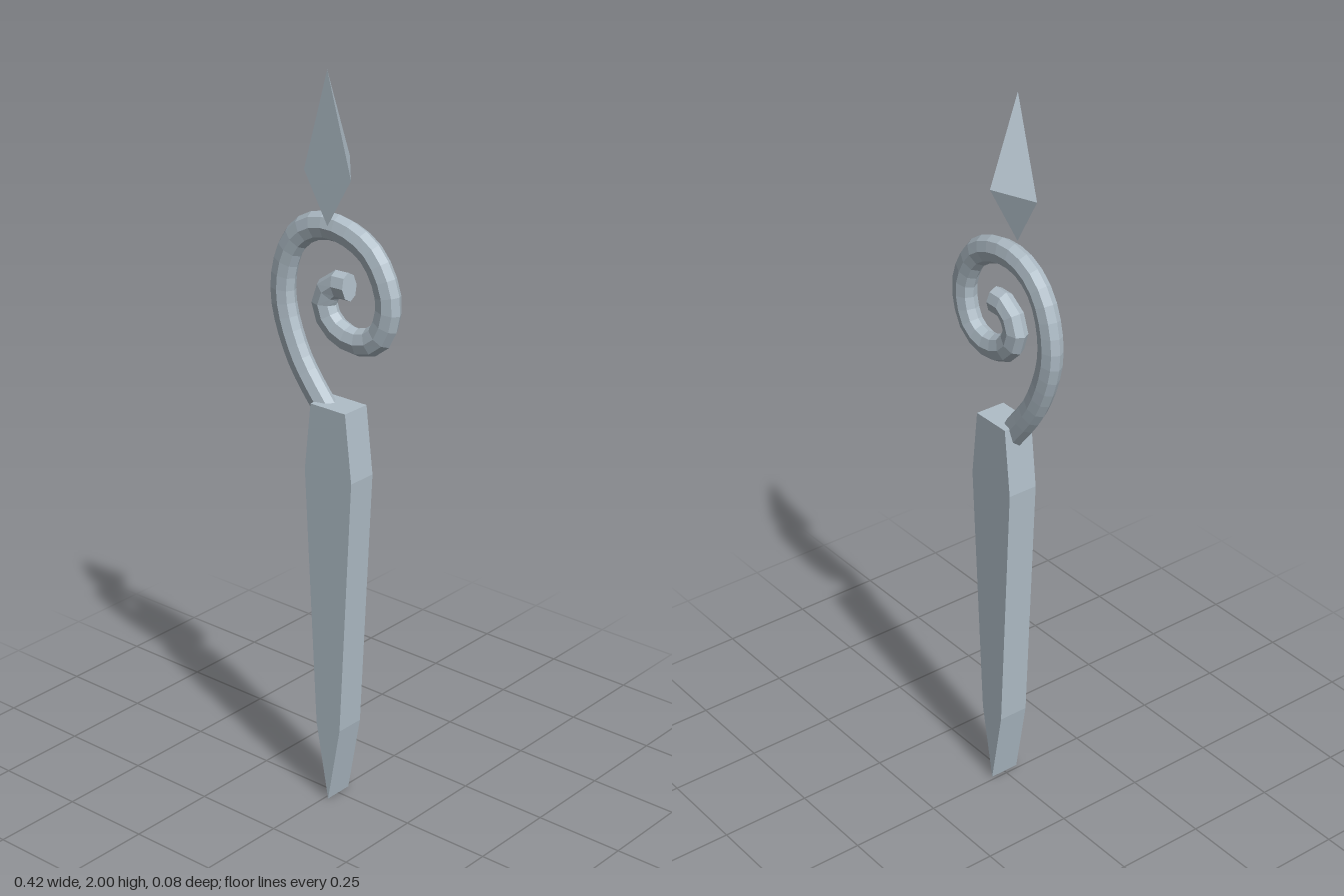
import * as THREE from 'three';

const DEPTH = 0.042; // half thickness of the blade and tip

export function createModel() {
  const model = new THREE.Group();
  const steel = new THREE.MeshStandardMaterial({ color: 0xb0bec8, flatShading: true });
  steel.name = 'paleSteel';
  const add = (name, geometry) => {
    const mesh = new THREE.Mesh(geometry, steel);
    mesh.name = name;
    model.add(mesh);
    return mesh;
  };

  // Tapered blade of even thickness
  const outline = [
    [0.01, 0], [0.05, 0.22], [0.088, 0.945], [0.067, 1.13],
    [-0.047, 1.13], [-0.067, 0.945], [-0.03, 0.22],
  ].map(([x, y]) => new THREE.Vector2(x, y));
  const blade = new THREE.ExtrudeGeometry(new THREE.Shape(outline), { depth: 2 * DEPTH, bevelEnabled: false });
  add('blade', blade.translate(0, 0, -DEPTH));

  // Spiral scroll: octagonal tube, slightly flattened front to back
  const path = new THREE.CatmullRomCurve3([
    [0, 1.07], [-0.03, 1.105], [-0.125, 1.235], [-0.173, 1.39], [-0.143, 1.52],
    [-0.08, 1.58], [0.01, 1.594], [0.115, 1.55], [0.17, 1.44], [0.14, 1.34],
    [0.07, 1.312], [-0.01, 1.34], [-0.036, 1.395], [-0.005, 1.445], [0.045, 1.45],
  ].map(([x, y]) => new THREE.Vector3(x, y, 0)));
  const radius = 0.037;
  add('scroll', new THREE.TubeGeometry(path, 36, radius, 8)).scale.z = 0.75;

  // Cap on the free end of the scroll
  const cap = add('scrollEnd', new THREE.CircleGeometry(radius, 8));
  cap.geometry.lookAt(path.getTangentAt(1));
  cap.geometry.translate(...path.getPointAt(1).toArray());
  cap.scale.z = 0.75;

  // Pointed tip: flat kite in front, pyramid behind
  const top = [0.01, 2, DEPTH], right = [0.085, 1.74, DEPTH];
  const bottom = [0.01, 1.61, DEPTH], left = [-0.065, 1.74, DEPTH];
  const ridge = [0.01, 1.77, -DEPTH];
  const faces = [
    [top, left, bottom], [top, bottom, right],
    [ridge, left, top], [ridge, bottom, left], [ridge, right, bottom], [ridge, top, right],
  ];
  const tip = new THREE.BufferGeometry();
  tip.setAttribute('position', new THREE.Float32BufferAttribute(faces.flat(2), 3));
  tip.computeVertexNormals();
  add('tip', tip);

  return model;
}
